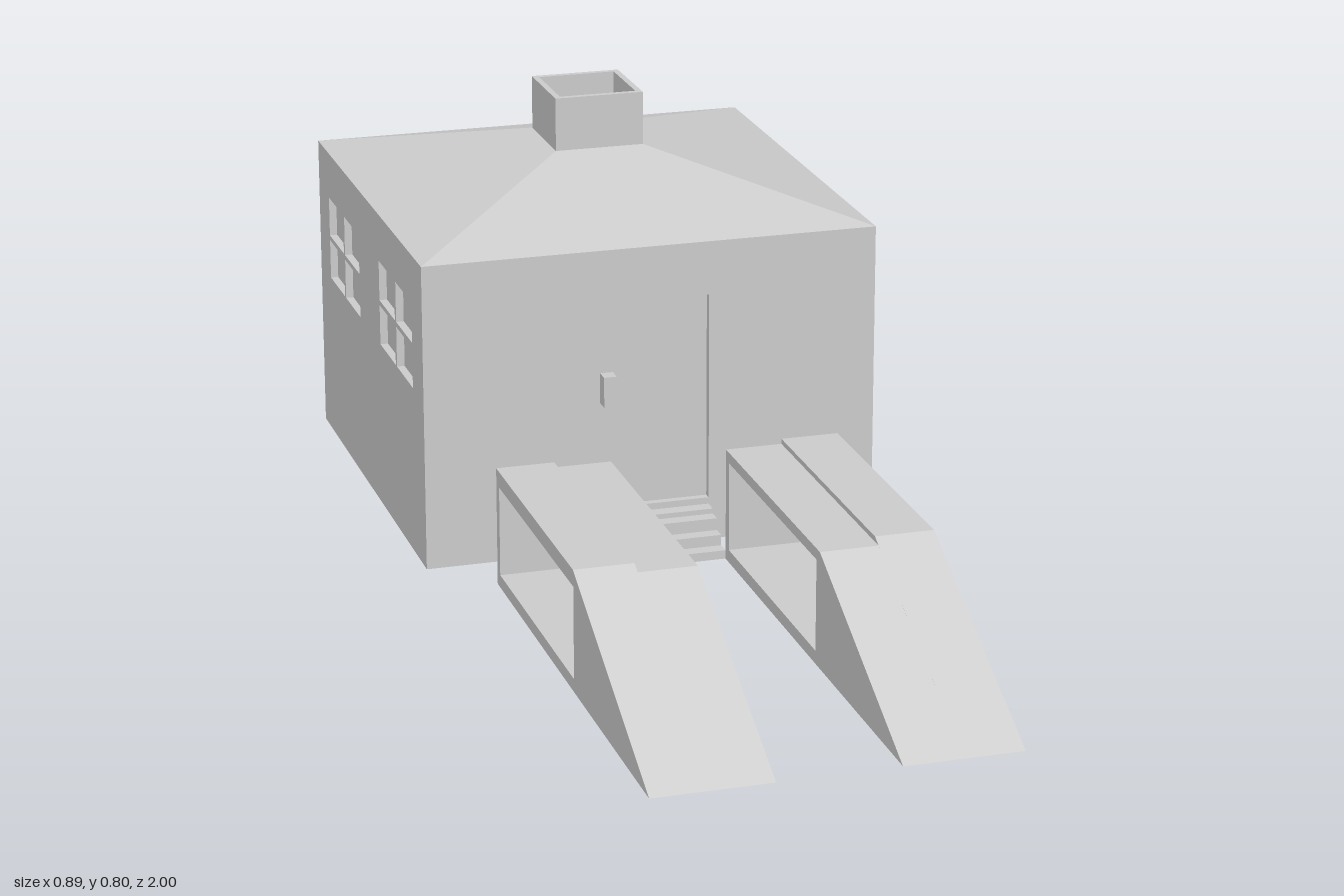
import * as THREE from 'three';

const shapeOf = (pts) => new THREE.Shape(pts.map(([x, y]) => new THREE.Vector2(x, y)));
const rect = (x0, y0, x1, y1) => [[x0, y0], [x1, y0], [x1, y1], [x0, y1]];

// Extrudes an outline with holes cut through it
function plate(points, holes, depth) {
  const shape = shapeOf(points);
  for (const hole of holes) shape.holes.push(shapeOf(hole));
  return new THREE.ExtrudeGeometry(shape, { depth, bevelEnabled: false });
}

// Turns a (z, y) outline into a solid between two x positions
function sidePlate(points, holes, x0, x1) {
  return plate(points, holes, x1 - x0).rotateY(-Math.PI / 2).translate(x1, 0, 0);
}

export function createModel() {
  const model = new THREE.Group();
  model.name = 'houseWithRamps';
  const grey = new THREE.MeshStandardMaterial({ color: 0xcccccc });
  grey.name = 'plain grey';

  const add = (name, geometry) => {
    const mesh = new THREE.Mesh(geometry, grey);
    mesh.name = name;
    model.add(mesh);
    return mesh;
  };
  const addBox = (name, x0, x1, y0, y1, z0, z1) =>
    add(name, new THREE.BoxGeometry(x1 - x0, y1 - y0, z1 - z0)
      .translate((x0 + x1) / 2, (y0 + y1) / 2, (z0 + z1) / 2));

  const half = 0.445, wallTop = 0.6, recess = 0.015;
  const back = -1, front = -0.11, middle = (back + front) / 2;

  // Core block: its faces form the recessed doors and window panes
  addBox('houseCore', -half + recess, half - recess, 0, wallTop, back + recess, front - recess);

  // Front wall with door opening, back wall with garage opening
  const wall = rect(-half, 0, half, wallTop);
  add('frontWall', plate(wall, [rect(-0.113, 0.085, 0.113, 0.495)], recess))
    .position.z = front - recess;
  add('backWall', plate(wall, [rect(-0.085, 0.02, 0.425, 0.41)], recess))
    .position.z = back;

  // Side walls, each with two four-pane windows
  const panes = [];
  for (const z of [-0.91, -0.465])
    for (const dz of [0, 0.14])
      for (const y of [0.335, 0.425])
        panes.push(rect(z + dz, y, z + dz + 0.13, y + 0.08));
  const sideWall = rect(back, 0, front, wallTop);
  add('leftWall', sidePlate(sideWall, panes, half - recess, half));
  add('rightWall', sidePlate(sideWall, panes, -half, -half + recess));

  // Low hipped roof
  const neck = 0.088, roofTop = 0.695;
  const roof = new THREE.CylinderGeometry(neck * Math.SQRT2, half * Math.SQRT2,
    roofTop - wallTop, 4).toNonIndexed();
  roof.rotateY(Math.PI / 4).translate(0, (roofTop + wallTop) / 2, middle);
  roof.computeVertexNormals();
  add('roof', roof);

  // Hollow square chimney
  const inner = neck - 0.012;
  add('chimney', plate(rect(-neck, -neck, neck, neck),
    [rect(-inner, -inner, inner, inner)], 0.105)
    .rotateX(-Math.PI / 2).translate(0, roofTop, middle));

  // Door handle
  addBox('doorHandle', -0.098, -0.073, 0.293, 0.353, front - recess, -0.097);

  // Entrance steps
  const steps = [[0, -0.028, 0.017], [-0.028, -0.055, 0.038],
    [-0.055, -0.082, 0.062], [-0.082, front, 0.072]];
  const outline = [[front, 0], [0, 0]];
  for (const [z0, z1, y] of steps) outline.push([z0, y], [z1, y]);
  add('entranceSteps', sidePlate(outline, [], -0.113, 0.113));

  // Pair of ramps: inner track slightly lower than the outer track
  const opening = [rect(0.02, 0.025, 0.535, 0.2)];
  const track = (height, crest) => [[0, 0], [1, 0], [crest, height], [0, height]];
  const tracks = [['innerTrack', 0.113, 0.223, 0.221, 0.553],
    ['outerTrack', 0.223, 0.335, 0.231, 0.533]];
  for (const [name, x0, x1, height, crest] of tracks) {
    const points = track(height, crest);
    add(name + 'Left', sidePlate(points, opening, x0, x1));
    add(name + 'Right', sidePlate(points, opening, -x1, -x0));
  }

  return model;
}
